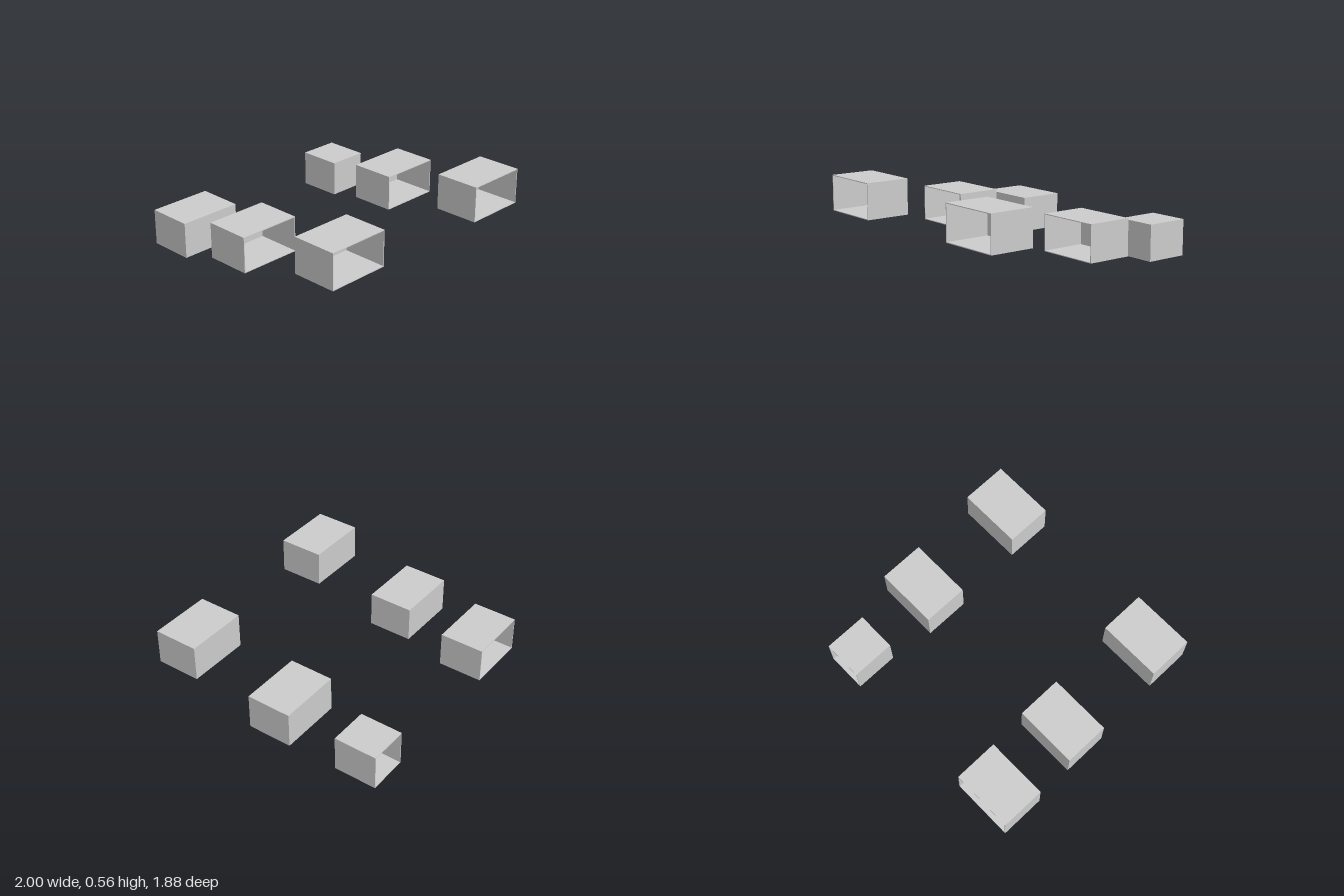
import * as THREE from 'three';

const material = new THREE.MeshStandardMaterial({ color: 0xcccccc, flatShading: true });
const WALL = 0.006, HEIGHT = 0.275, TURN = 0.012;

// Thin-walled box centred on its origin, closed at -z and open at +z
function openBox(name, width, depth) {
  const box = new THREE.Group();
  box.name = name;
  const w = width / 2, h = HEIGHT / 2, iw = w - WALL, ih = h - WALL;

  const outline = new THREE.Shape([[-w, -h], [w, -h], [w, h], [-w, h]].map(p => new THREE.Vector2(...p)));
  outline.holes.push(new THREE.Path([[-iw, -ih], [-iw, ih], [iw, ih], [iw, -ih]].map(p => new THREE.Vector2(...p))));
  const sleeve = new THREE.ExtrudeGeometry(outline, { depth, bevelEnabled: false });
  sleeve.translate(0, 0, -depth / 2);
  const walls = new THREE.Mesh(sleeve, material);
  walls.name = 'walls';

  const panel = new THREE.Mesh(new THREE.BoxGeometry(iw * 2, ih * 2, WALL), material);
  panel.name = 'closedEnd';
  panel.position.z = -depth / 2 + WALL / 2;

  box.add(walls, panel);
  return box;
}

export function createModel() {
  const model = new THREE.Group();
  model.name = 'openBoxes';

  // Two stepped rows; the rear pair opens backwards
  const boxes = [
    { name: 'frontRightBox', x: -0.722, y: 0.28, z: 0.759 },
    { name: 'middleRightBox', x: -0.742, y: 0.104, z: -0.091 },
    { name: 'rearRightBox', x: -0.754, y: 0, z: -0.732, rear: true },
    { name: 'frontLeftBox', x: 0.743, y: 0.28, z: 0.742 },
    { name: 'middleLeftBox', x: 0.75, y: 0.104, z: -0.108 },
    { name: 'rearLeftBox', x: 0.736, y: 0, z: -0.772, rear: true, width: 0.313, depth: 0.337 },
  ];
  for (const { name, x, y, z, rear = false, width = 0.49, depth = 0.351 } of boxes) {
    const box = openBox(name, width, depth);
    box.position.set(x, y + HEIGHT / 2, z);
    box.rotation.y = TURN + (rear ? Math.PI : 0);
    model.add(box);
  }
  return model;
}
